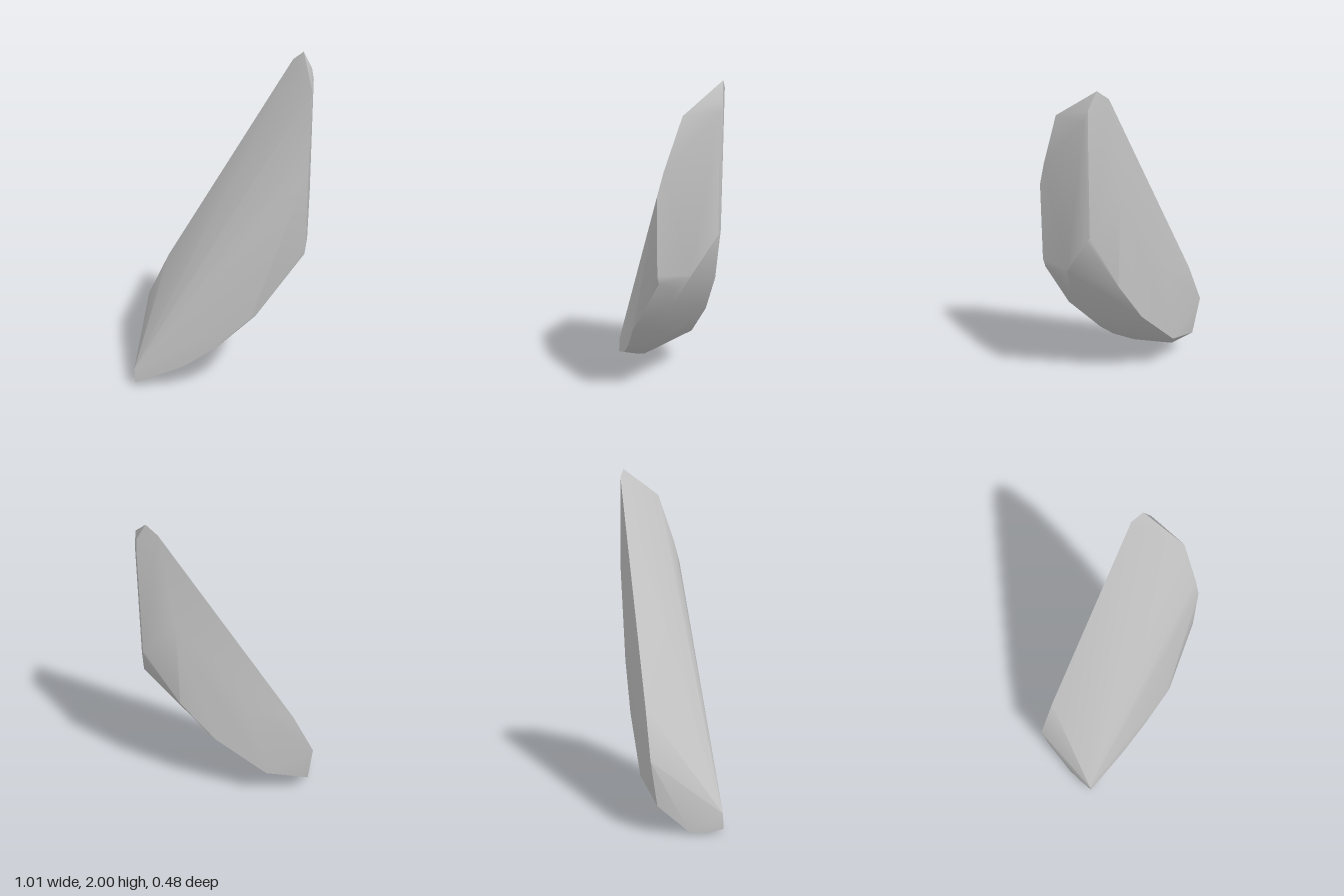
import * as THREE from 'three';
import { ConvexGeometry } from 'three/addons/geometries/ConvexGeometry.js';
import { toCreasedNormals } from 'three/addons/utils/BufferGeometryUtils.js';

const toVectors = (points) => points.map((p) => new THREE.Vector3(...p));

export function createModel() {
  const group = new THREE.Group();
  group.name = 'stoneShard';

  const stone = new THREE.MeshStandardMaterial({ color: 0xc5c5c5 });
  stone.name = 'pale grey stone';

  // Flat lower-left end
  const lowerEnd = [
    [-0.51, 0.11, 0.185], [-0.505, 0.02, 0.19], [-0.5, 0, 0.1],
    [-0.495, 0.01, 0], [-0.475, 0.17, -0.18], [-0.49, 0.43, -0.22],
  ];
  // Long sloping top, ending in the tip
  const slopeAndTip = [
    [-0.36, 0.7, -0.222], [0.38, 1.95, -0.228], [0.44, 2, -0.2], [0.49, 1.91, -0.185],
  ];
  // Flat upright right side with a narrow bevel at its back edge
  const rightSide = [
    [0.502, 1.84, 0.03], [0.502, 1.55, 0.13], [0.502, 1.42, 0.165], [0.502, 0.97, 0.165],
    [0.495, 0.92, 0.155], [0.502, 0.95, -0.02], [0.502, 1.18, -0.172], [0.502, 1.85, -0.167],
    [0.495, 1.2, -0.187], [0.495, 1.84, -0.186],
  ];
  // Curved belly: front rim, underside and back rim
  const belly = [
    [-0.2, 0.17, 0.215], [0, 0.32, 0.228], [0.2, 0.53, 0.24], [0.23, 0.55, 0.235],
    [-0.38, 0.05, 0.08], [-0.2, 0.145, 0.08], [0, 0.28, 0.08], [0.12, 0.385, 0.08],
    [0.23, 0.5, 0.07], [0.4, 0.74, 0.06], [0.48, 0.88, 0.06],
    [-0.21, 0.265, -0.225], [0.1, 0.56, -0.226], [0.3, 0.84, -0.22],
  ];
  // Slightly bulging back
  const back = [[-0.1, 0.8, -0.236], [0.31, 1.4, -0.243]];

  const hull = new ConvexGeometry(
    toVectors([...lowerEnd, ...slopeAndTip, ...rightSide, ...belly, ...back]),
  );
  const shard = new THREE.Mesh(toCreasedNormals(hull, 0.7), stone);
  shard.name = 'shard';
  group.add(shard);
  return group;
}
